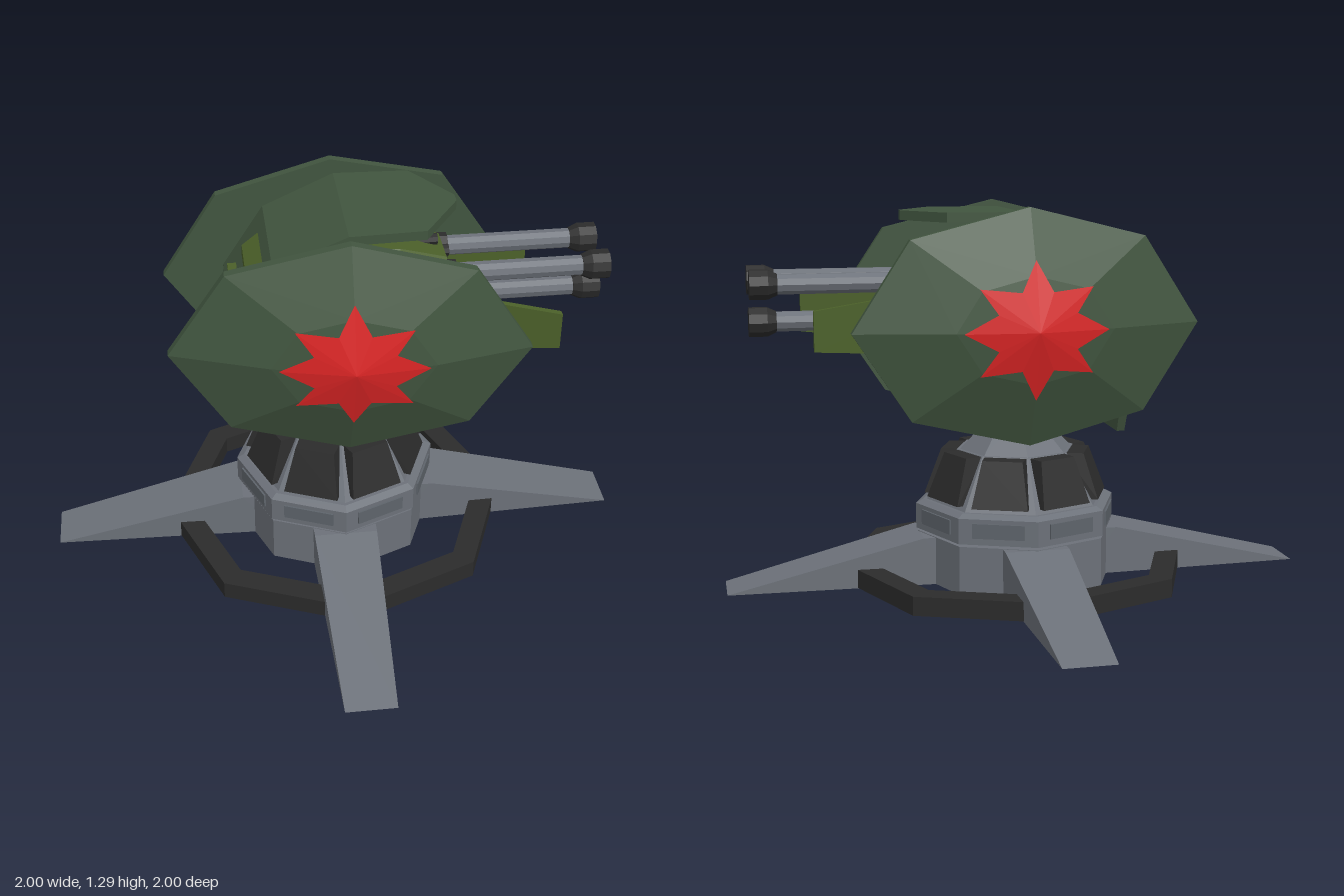
import * as THREE from 'three';
import { ConvexGeometry } from 'three/addons/geometries/ConvexGeometry.js';

const flat = (name, color, side = THREE.FrontSide) =>
  new THREE.MeshStandardMaterial({ name, color, flatShading: true, side });

export function createModel() {
  const grey = flat('steelGrey', 0x6c7179);
  const panelGrey = flat('panelGrey', 0x5e646b);
  const dark = flat('darkMetal', 0x2b2b2b);
  const green = flat('armourGreen', 0x41553f);
  const olive = flat('oliveBody', 0x4b6029);
  const red = flat('emblemRed', 0xd82424, THREE.DoubleSide);

  const model = new THREE.Group();
  model.name = 'gunTurret';
  const add = (name, geometry, material) => {
    const mesh = new THREE.Mesh(geometry, material);
    mesh.name = name;
    model.add(mesh);
    return mesh;
  };
  const v = (x, y, z) => new THREE.Vector3(x, y, z);
  const hull = (name, points, material) => add(name, new ConvexGeometry(points), material);
  // Octagonal drum standing between two heights
  const drum = (name, r0, r1, y0, y1, material) =>
    add(name, new THREE.CylinderGeometry(r1, r0, y1 - y0, 8), material).position.y = (y0 + y1) / 2;
  // Rod pointing along +x
  const rod = (name, r0, r1, x0, x1, y, z, material, sides = 10) =>
    add(name, new THREE.CylinderGeometry(r1, r0, x1 - x0, sides).rotateZ(-Math.PI / 2), material)
      .position.set((x0 + x1) / 2, y, z);

  // Base hub and four wedge legs
  drum('hub', 0.345, 0.345, 0, 0.165, grey);
  for (let i = 0; i < 4; i++) {
    const pts = [];
    for (const s of [-1, 1]) {
      pts.push(v(0.2, 0, s * 0.11), v(0.2, 0.163, s * 0.11), v(0.34, 0.163, s * 0.108),
        v(0.34, 0, s * 0.098), v(1, 0, s * 0.085));
    }
    hull('leg', pts, grey).rotation.y = i * Math.PI / 2;
  }

  // Dark ground ring linking the legs
  const corner = [[0.57, 0.09], [0.43, 0.435], [0.09, 0.57]];
  const ringPoints = (k) => {
    const pts = [];
    for (let i = 0; i < 4; i++) {
      const c = Math.round(Math.cos(i * Math.PI / 2)), s = Math.round(Math.sin(i * Math.PI / 2));
      for (const [x, y] of corner) pts.push(new THREE.Vector2(k * (c * x - s * y), k * (s * x + c * y)));
    }
    return pts;
  };
  const ringShape = new THREE.Shape(ringPoints(1));
  ringShape.holes.push(new THREE.Path(ringPoints(0.86)));
  add('groundRing', new THREE.ExtrudeGeometry(ringShape, { depth: 0.063, bevelEnabled: false })
    .rotateX(-Math.PI / 2), dark).position.y = 0.002;

  // Cabin and neck
  drum('cabinSeat', 0.31, 0.31, 0.16, 0.18, grey);
  drum('cabinRing', 0.35, 0.35, 0.175, 0.262, grey);
  drum('cabinRingBevel', 0.35, 0.325, 0.262, 0.275, grey);
  drum('cabinWall', 0.315, 0.205, 0.27, 0.445, grey);
  drum('cabinRoof', 0.195, 0.08, 0.445, 0.56, grey);
  drum('neckFlare', 0.08, 0.105, 0.56, 0.655, grey);
  drum('neck', 0.105, 0.1, 0.655, 0.8, grey);

  // Thick windows and wall panels on each of the eight faces
  for (let i = 0; i < 8; i++) {
    const turn = (i + 0.5) * Math.PI / 4;
    const pts = [];
    for (const s of [-1, 1]) {
      pts.push(v(s * 0.095, 0.29, 0.25), v(s * 0.095, 0.29, 0.302),
        v(s * 0.072, 0.443, 0.18), v(s * 0.068, 0.443, 0.248));
    }
    hull('window', pts, dark).rotation.y = turn;
    const panel = add('wallPanel', new THREE.BoxGeometry(0.175, 0.05, 0.009), panelGrey);
    panel.position.set(Math.sin(turn) * 0.325, 0.223, Math.cos(turn) * 0.325);
    panel.rotation.y = turn;
  }

  // Gun body: tapered hexagonal block along x
  const section = [[1.15, 0.11], [0.98, 0.222], [0.84, 0.222], [0.77, 0.13]];
  const bodyPoints = [];
  for (const [x, k] of [[-0.3, 0.7], [-0.2, 1], [0.2, 1], [0.36, 0.7]]) {
    for (const [y, z] of section) {
      for (const s of [-1, 1]) bodyPoints.push(v(x, 0.95 + (y - 0.95) * k, s * z * k));
    }
  }
  hull('gunBody', bodyPoints, olive);
  add('hoodBracket', new THREE.BoxGeometry(0.12, 0.16, 0.2), olive).position.set(-0.29, 0.93, 0);

  // Flared cheek plates
  for (const s of [-1, 1]) {
    const pts = [];
    for (const [x, y0, y1] of [[0.18, 0.79, 1.03], [0.71, 0.835, 0.965]]) {
      const z = 0.165 + 0.25 * (x - 0.27);
      for (const y of [y0, y1]) pts.push(v(x, y, s * z), v(x, y, s * (z - 0.022)));
    }
    hull('cheekPlate', pts, olive);
  }

  // Three barrels with muzzles and collars
  for (const [y, z] of [[1.035, 0.09], [1.035, -0.09], [0.903, 0]]) {
    rod('barrelCollar', 0.05, 0.045, 0.3, 0.39, y, z, dark);
    rod('barrel', 0.034, 0.034, 0.3, 0.83, y, z, grey);
    rod('muzzleTaper', 0.036, 0.05, 0.81, 0.84, y, z, dark);
    rod('muzzle', 0.05, 0.05, 0.84, 0.9, y, z, dark);
  }
  for (const [x, y] of [[0.32, 1.115], [0.36, 1.07]]) rod('sightLens', 0.022, 0.02, x - 0.06, x + 0.02, y, 0, dark, 8);

  // Hood: bent plate over the top and down the back [outerX, outerY, innerX, innerY, halfWidth]
  const hood = [
    [0.395, 1.265, 0.395, 1.233, 0.02], [0.27, 1.265, 0.27, 1.233, 0.205],
    [0.02, 1.265, 0.02, 1.233, 0.215], [-0.22, 1.16, -0.205, 1.13, 0.207],
    [-0.36, 0.95, -0.33, 0.94, 0.195], [-0.36, 0.6, -0.33, 0.6, 0.16], [-0.355, 0.51, -0.328, 0.51, 0.13],
  ];
  for (let i = 0; i + 1 < hood.length; i++) {
    const pts = [];
    for (const [ox, oy, ix, iy, w] of [hood[i], hood[i + 1]]) {
      for (const s of [-1, 1]) pts.push(v(ox, oy, s * w), v(ix, iy, s * w));
    }
    hull('hoodPlate', pts, green);
  }

  // Side shields: faceted octagonal domes, each with an eight-pointed star
  const rim = [[0.5825, 0], [0.3925, 0.29], [0, 0.3875], [-0.3925, 0.29],
    [-0.5825, 0], [-0.3925, -0.29], [0, -0.3875], [0.3925, -0.29]];
  const tilt = (dx) => 0.073 * dx;
  const domeZ = (dx, dy) => {
    const a = Math.abs(dx), b = Math.abs(dy);
    const s = Math.max((0.29 * a + 0.19 * b) / 0.169, (0.0975 * a + 0.3925 * b) / 0.1521);
    return tilt(dx) + (s < 0.45 ? 0.435 - 0.04 * s / 0.45 : 0.395 - 0.09 * (s - 0.45) / 0.55);
  };
  const starQuarter = [[0.24, 0], [0.13, 0.058], [0.187, 0.139], [0.052, 0.125], [0, 0.225]];
  const mirrored = starQuarter.slice(0, 4).reverse().map(([x, y]) => [-x, y]);
  const upper = [...starQuarter, ...mirrored];
  const star = [...upper, ...upper.slice(1, -1).reverse().map(([x, y]) => [x, -y])];

  for (const side of [1, -1]) {
    const at = (dx, dy, z) => v(0.0175 + dx, 0.898 + dy, side * z);
    const pts = [at(0, 0, domeZ(0, 0))];
    for (const [dx, dy] of rim) {
      pts.push(at(dx, dy, 0.275 + tilt(dx)), at(dx, dy, 0.305 + tilt(dx)));
      pts.push(at(dx * 0.45, dy * 0.45, domeZ(dx * 0.45, dy * 0.45)));
    }
    hull('sideShield', pts, green);

    const lifted = (p) => at(p[0], p[1], domeZ(p[0], p[1]) + 0.012);
    const tris = [];
    star.forEach((p, i) => {
      const q = star[(i + 1) % star.length];
      const [a, b] = side > 0 ? [p, q] : [q, p];
      tris.push(lifted([0, 0]), lifted(a), lifted(b));
    });
    const starGeometry = new THREE.BufferGeometry().setFromPoints(tris);
    starGeometry.computeVertexNormals();
    add('starEmblem', starGeometry, red);

    // Arm joining shield to gun body
    add('shieldArm', new THREE.CylinderGeometry(0.06, 0.06, 0.14, 8).rotateX(Math.PI / 2), dark)
      .position.set(0, 0.9, side * 0.24);
  }

  return model;
}
